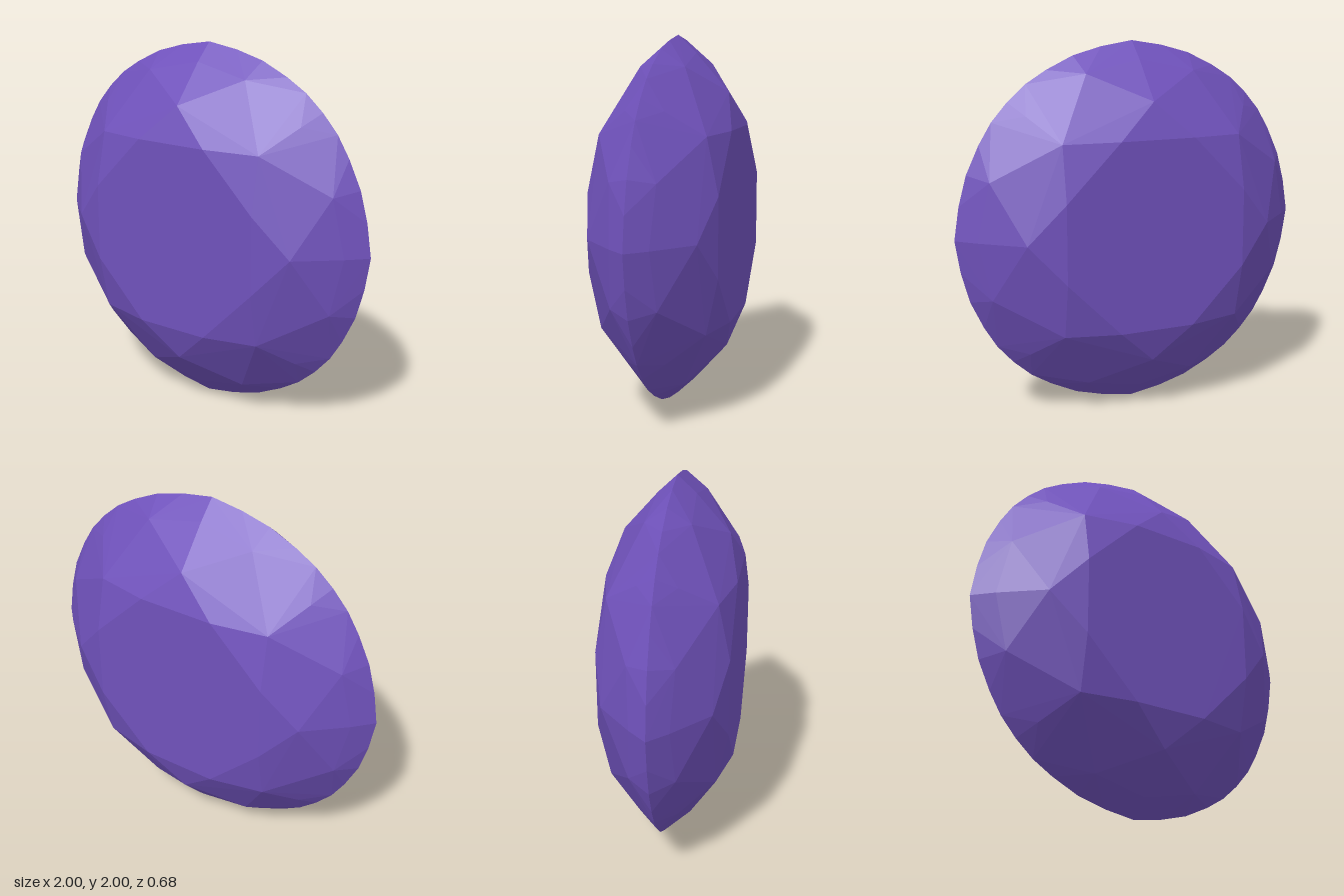
import * as THREE from 'three';
import { ConvexGeometry } from 'three/addons/geometries/ConvexGeometry.js';

// Corners of one eighth of the gem: x, distance up from the centre, z
const TABLE = [[0.21, 0.51, 0.342]];
const STARS = [[0, 0.7, 0.28], [0.505, 0.505, 0.28]];
const BREAKS = [[0, 0.905, 0.1], [0.31, 0.84, 0.118], [0.635, 0.635, 0.1]];
const GIRDLE = [[0, 1, 0], [0.176, 0.972, 0], [0.337, 0.928, 0], [0.487, 0.857, 0], [0.6, 0.788, 0], [0.7, 0.7, 0]];

export function createModel() {
  const group = new THREE.Group();
  group.name = 'gem';

  // Mirror every corner over the diagonal, both axes and the girdle plane
  const corners = new Map();
  for (const [a, b, z] of [...TABLE, ...STARS, ...BREAKS, ...GIRDLE]) {
    for (const [x, y] of [[a, b], [b, a]]) {
      for (const sx of [-1, 1]) for (const sy of [-1, 1]) for (const sz of [-1, 1]) {
        const p = new THREE.Vector3(sx * x, 1 + sy * y, sz * z);
        corners.set(p.toArray().map((v) => (v + 5).toFixed(3)).join(), p);
      }
    }
  }

  // The facets are the convex skin over the corners
  const stone = new THREE.Mesh(
    new ConvexGeometry([...corners.values()]),
    new THREE.MeshStandardMaterial({ color: 0x7052bc, flatShading: true })
  );
  stone.name = 'cutStone';
  group.add(stone);
  return group;
}
